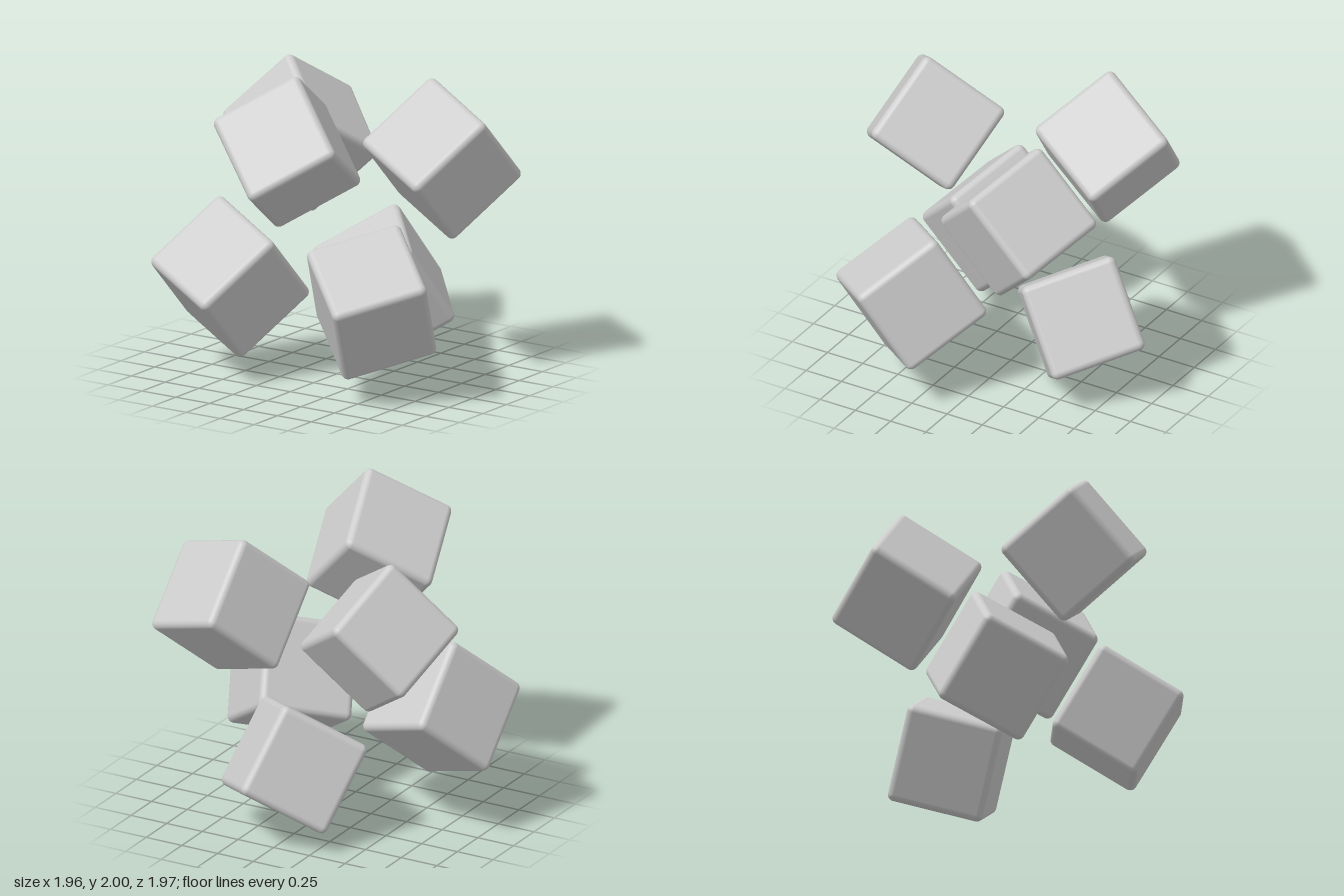
import * as THREE from 'three';
import { RoundedBoxGeometry } from 'three/addons/geometries/RoundedBoxGeometry.js';

const SIZE = 0.602;
const RADIUS = 0.042;

// Each cube: name, centre, and two of its edge directions (the third is perpendicular).
const CUBES = [
  ['upperFrontCube', [0, 1.52, 0.535], [-0.37, 0.39, -0.15], [0.41, 0.27, -0.28]],
  ['lowerBackCube', [0, 0.455, -0.5], [-0.37, 0.15, -0.39], [0.41, 0.28, -0.27]],
  ['upperLeftCube', [0.52, 1.355, -0.37], [0, 0.4, 0.4], [0.5, -0.175, 0.175]],
  ['lowerRightCube', [-0.52, 0.62, 0.39], [0, 0.4, 0.4], [0.5, -0.175, 0.175]],
  ['upperRightCube', [-0.525, 1.355, -0.37], [-0.38, -0.39, 0.14], [0.4, -0.27, 0.27]],
  ['lowerLeftCube', [0.525, 0.62, 0.39], [-0.38, -0.14, 0.39], [0.4, -0.27, 0.27]],
];

// Rotation whose local x and y axes follow the given edges, squared up.
function orientation(edgeA, edgeB) {
  const x = new THREE.Vector3(...edgeA).normalize();
  const z = new THREE.Vector3().crossVectors(x, new THREE.Vector3(...edgeB)).normalize();
  const y = new THREE.Vector3().crossVectors(z, x);
  return new THREE.Matrix4().makeBasis(x, y, z);
}

export function createModel() {
  const model = new THREE.Group();
  model.name = 'cubeCluster';

  // One soft-edged cube shared by all six
  const geometry = new RoundedBoxGeometry(SIZE, SIZE, SIZE, 5, RADIUS);
  const material = new THREE.MeshStandardMaterial({ color: 0xcccccc });

  for (const [name, centre, edgeA, edgeB] of CUBES) {
    const cube = new THREE.Mesh(geometry, material);
    cube.name = name;
    cube.position.set(...centre);
    cube.quaternion.setFromRotationMatrix(orientation(edgeA, edgeB));
    model.add(cube);
  }
  return model;
}
